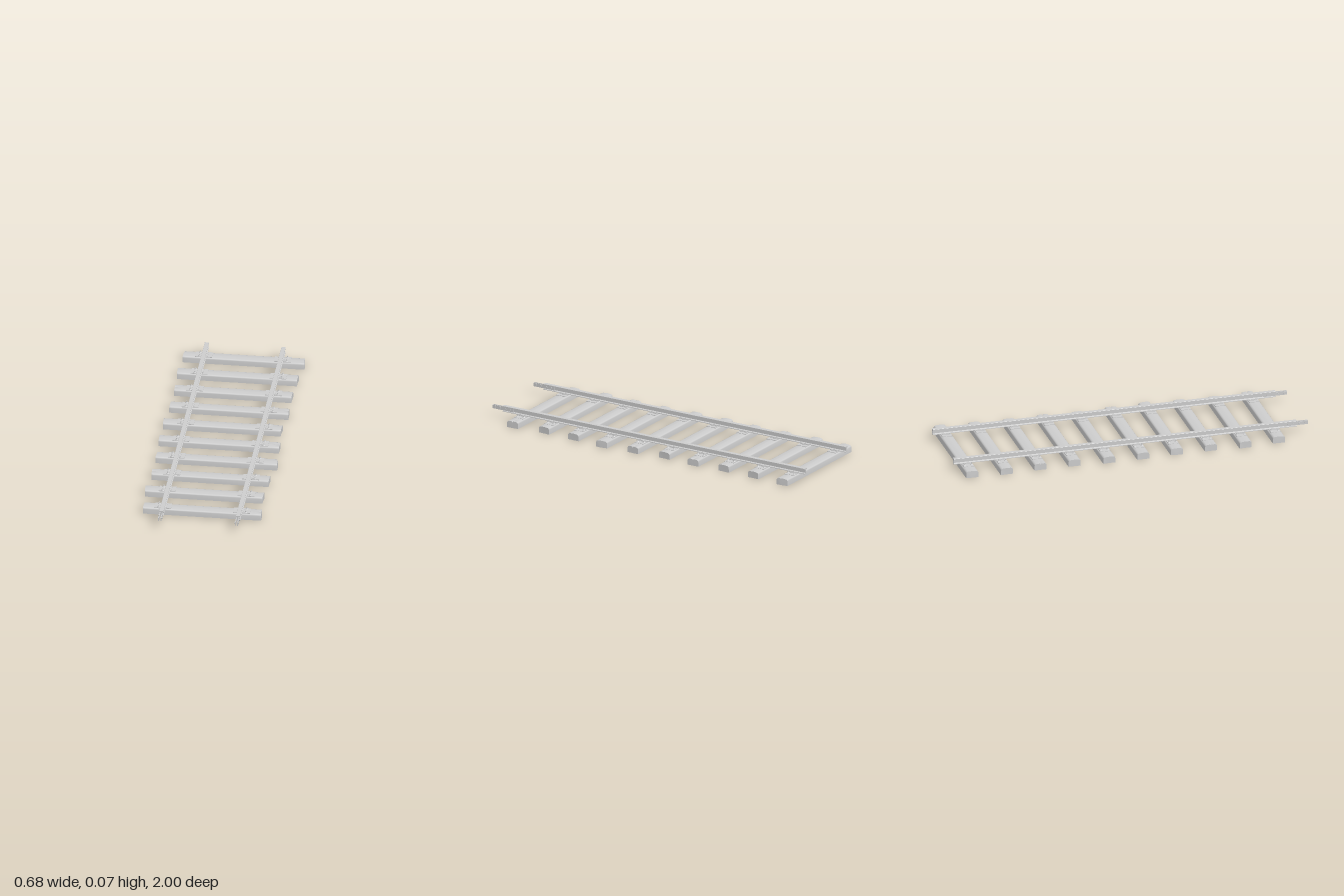
import * as THREE from 'three';

const grey = new THREE.MeshStandardMaterial({ color: 0xcccccc });
grey.name = 'plain grey';
grey.side = THREE.DoubleSide;

function add(parent, geometry, name, x = 0, y = 0, z = 0) {
  const mesh = new THREE.Mesh(geometry, grey);
  mesh.name = name;
  mesh.position.set(x, y, z);
  parent.add(mesh);
  return mesh;
}

// half cross-section of a sleeper: [z, y], open underneath
const HALF = [[0.035, 0], [0.0345, 0.027], [0.031, 0.032], [0.024, 0.035], [0.004, 0.0365]];
const SECTION = [...HALF, [0, 0.0365], ...HALF.map(([z, y]) => [-z, y]).reverse()];

// hollow sleeper with slanted ends; split is -1 or +1 for a cracked end, 0 for none
function sleeperGeometry(left, right, split, slant) {
  const stations = [0, 0.02, 0.065, 0.2, 0.8, 0.935, 0.98, 1];
  const pos = [], index = [], n = SECTION.length;
  stations.forEach((t, s) => {
    const atEnd = s === 0 || s === stations.length - 1;
    const nearEnd = Math.min(t, 1 - t) < 0.1;
    SECTION.forEach(([z, y], i) => {
      let x = left + (right - left) * t;
      if (atEnd) x -= Math.sign(t - 0.5) * 0.003 * (1 + slant * z / 0.035);
      let h = y > 0.03 && nearEnd ? y + 0.0015 : y;
      const cracked = split !== 0 && Math.sign(t - 0.5) === split;
      if (cracked && i === HALF.length && Math.min(t, 1 - t) < 0.05) h -= 0.009;
      const squeeze = atEnd ? 0.97 : 1;
      pos.push(x, h, z * squeeze);
    });
  });
  for (let s = 0; s < stations.length - 1; s++) {
    for (let i = 0; i < n - 1; i++) {
      const a = s * n + i, b = a + n;
      index.push(a, b, a + 1, b, b + 1, a + 1);
    }
  }
  // end caps on their own vertices so the edge stays sharp
  for (const s of [0, stations.length - 1]) {
    const base = pos.length / 3;
    for (let i = 0; i < n; i++) pos.push(...pos.slice((s * n + i) * 3, (s * n + i) * 3 + 3));
    const mid = pos.length / 3;
    pos.push(pos[base * 3], 0, 0);
    for (let i = 0; i < n - 1; i++) {
      if (s === 0) index.push(mid, base + i, base + i + 1);
      else index.push(mid, base + i + 1, base + i);
    }
  }
  const g = new THREE.BufferGeometry();
  g.setAttribute('position', new THREE.Float32BufferAttribute(pos, 3));
  g.setIndex(index);
  g.computeVertexNormals();
  return g;
}

// I-shaped rail section extruded along z
function railGeometry(length) {
  const side = [[0.0115, 0.041], [0.0115, 0.044], [0.004, 0.048], [0.004, 0.063],
    [0.0115, 0.066], [0.0115, 0.072], [0.0105, 0.073]];
  const outline = [...side, ...side.map(([x, y]) => [-x, y]).reverse()];
  const shape = new THREE.Shape(outline.map(([x, y]) => new THREE.Vector2(x, y)));
  return new THREE.ExtrudeGeometry(shape, { depth: length, bevelEnabled: false });
}

export function createModel() {
  const model = new THREE.Group();
  model.name = 'railwayTrack';

  // sleepers: [left, right, cracked end, slant]
  const sleepers = [
    [-0.33, 0.338, 0, -0.9], [-0.34, 0.326, 0, 0.5], [-0.33, 0.32, -1, 0.3], [-0.33, 0.326, 1, -0.3],
    [-0.342, 0.312, 0, 0.6], [-0.34, 0.326, 1, 0.2], [-0.33, 0.338, 0, -0.9], [-0.33, 0.32, -1, 0.3],
    [-0.342, 0.312, 0, 0.6], [-0.325, 0.326, 1, -0.4],
  ];
  const plate = new THREE.BoxGeometry(0.092, 0.004, 0.056);
  const chair = new THREE.BoxGeometry(0.034, 0.004, 0.044);
  const bolt = new THREE.CylinderGeometry(0.006, 0.0085, 0.004, 10);
  const stud = new THREE.CylinderGeometry(0.0022, 0.0035, 0.007, 8);

  sleepers.forEach(([left, right, split, slant], i) => {
    const row = new THREE.Group();
    row.name = 'sleeperRow';
    row.position.z = -0.926 + i * 0.1925;
    model.add(row);
    add(row, sleeperGeometry(left, right, split, slant), 'sleeper');
    for (const s of [-1, 1]) {
      // base plate, rail seat and outer bolts
      add(row, plate, 'basePlate', s * 0.216, 0.0365, 0);
      add(row, chair, 'railSeat', s * 0.21, 0.0395, 0);
      for (const z of [-0.02, 0.02]) {
        add(row, bolt, 'bolt', s * 0.239, 0.0405, z);
        add(row, stud, 'boltStud', s * 0.239, 0.046, z);
      }
    }
  });

  // rails with joint plates reaching past the front end
  const rail = railGeometry(1.935);
  const joint = new THREE.BoxGeometry(0.004, 0.019, 0.135);
  const nut = new THREE.CylinderGeometry(0.0045, 0.0045, 0.004, 6);
  nut.rotateZ(Math.PI / 2);
  for (const s of [-1, 1]) {
    const side = new THREE.Group();
    side.name = s > 0 ? 'leftRail' : 'rightRail';
    side.position.x = s * 0.21;
    model.add(side);
    add(side, rail, 'rail', 0, 0, -1);
    for (const f of [-1, 1]) {
      add(side, joint, 'jointPlate', f * 0.0062, 0.0565, 0.9325);
      for (const z of [0.885, 0.915, 0.95, 0.982]) {
        add(side, nut, 'jointNut', f * 0.0102, 0.0565, z);
      }
    }
  }
  return model;
}
